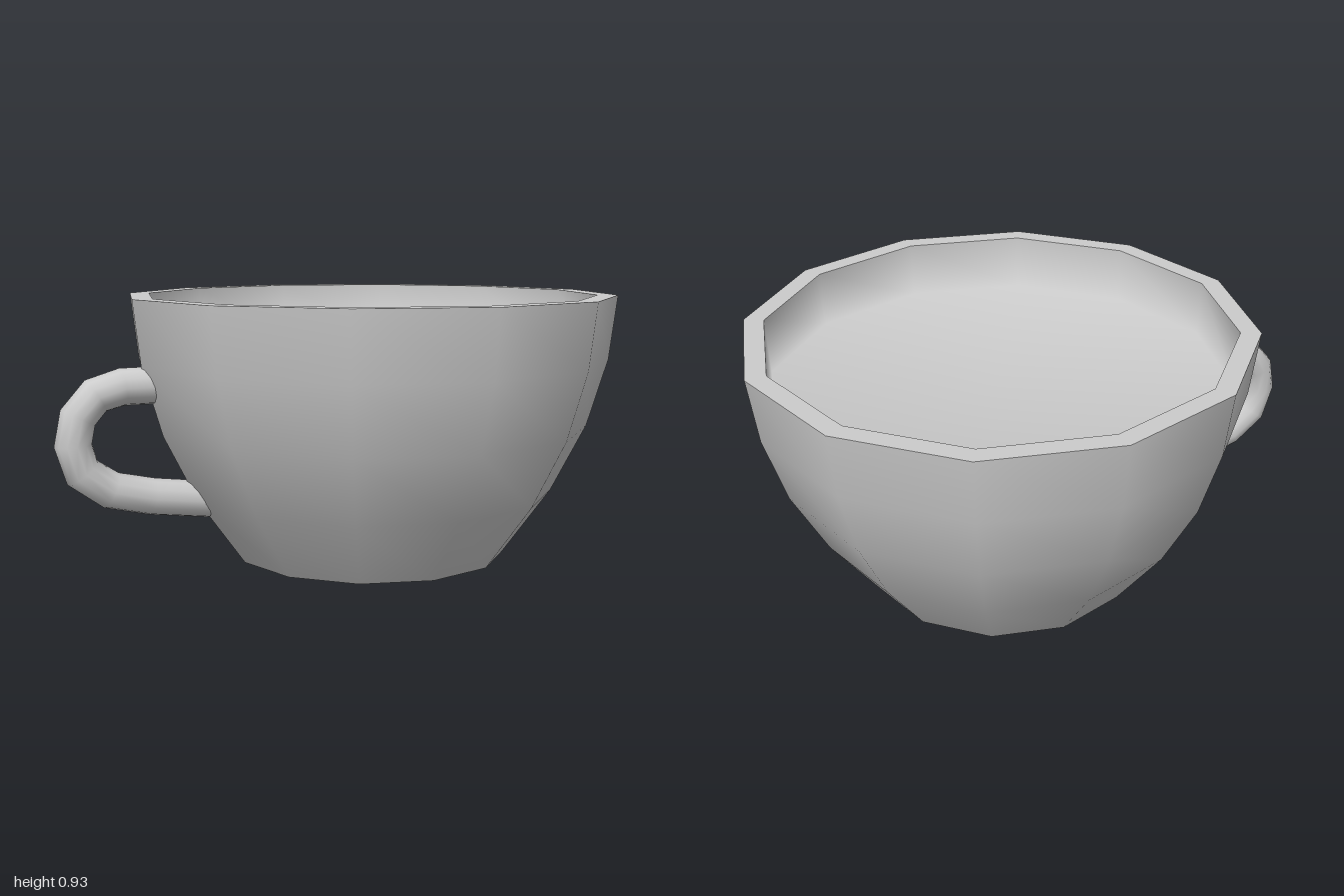
import * as THREE from 'three';

const SIDES = 12;
const material = new THREE.MeshStandardMaterial({ color: 0xcccccc });

function lathe(name, profile) {
  const points = profile.map(([r, y]) => new THREE.Vector2(r, y));
  const mesh = new THREE.Mesh(new THREE.LatheGeometry(points, SIDES), material);
  mesh.name = name;
  return mesh;
}

// Gives every ring of a lathed mesh plain radial normals, so shading runs evenly up the wall
function radialNormals(mesh) {
  const { position, normal } = mesh.geometry.attributes;
  for (let i = 0; i < position.count; i++) {
    const angle = Math.atan2(position.getX(i), position.getZ(i));
    const tilt = Math.hypot(normal.getX(i), normal.getZ(i));
    normal.setXYZ(i, Math.sin(angle) * tilt, normal.getY(i), Math.cos(angle) * tilt);
  }
  return mesh;
}

export function createModel() {
  const group = new THREE.Group();
  group.name = 'teacup';

  // Twelve-sided bowl: smooth walls, with sharp edges at the rim and base
  const bowl = new THREE.Group();
  bowl.name = 'bowl';
  bowl.position.x = 0.133;
  bowl.add(
    radialNormals(lathe('outerWall', [[0.483, 0], [0.65, 0.23], [0.77, 0.465], [0.84, 0.7], [0.867, 0.925]])),
    lathe('rim', [[0.867, 0.925], [0.797, 0.925]]),
    // Short inner wall running smoothly into a flat, shallow inside surface
    lathe('inside', [[0.797, 0.925], [0.79, 0.73], [0, 0.73]]),
    lathe('base', [[0, 0], [0.483, 0]])
  );
  group.add(bowl);

  // Handle: round tube with one ring at each path point, ends buried in the wall
  const path = new THREE.CatmullRomCurve3([
    [-0.66, 0.638], [-0.77, 0.638], [-0.86, 0.613], [-0.92, 0.545], [-0.938, 0.455],
    [-0.91, 0.362], [-0.815, 0.295], [-0.675, 0.262], [-0.475, 0.235]
  ].map(([x, y]) => new THREE.Vector3(x, y, -0.015)));
  path.getPointAt = path.getPoint;
  path.getTangentAt = path.getTangent;
  const handle = new THREE.Mesh(
    new THREE.TubeGeometry(path, path.points.length - 1, 0.063, 12), material);
  handle.name = 'handle';
  group.add(handle);

  return group;
}
